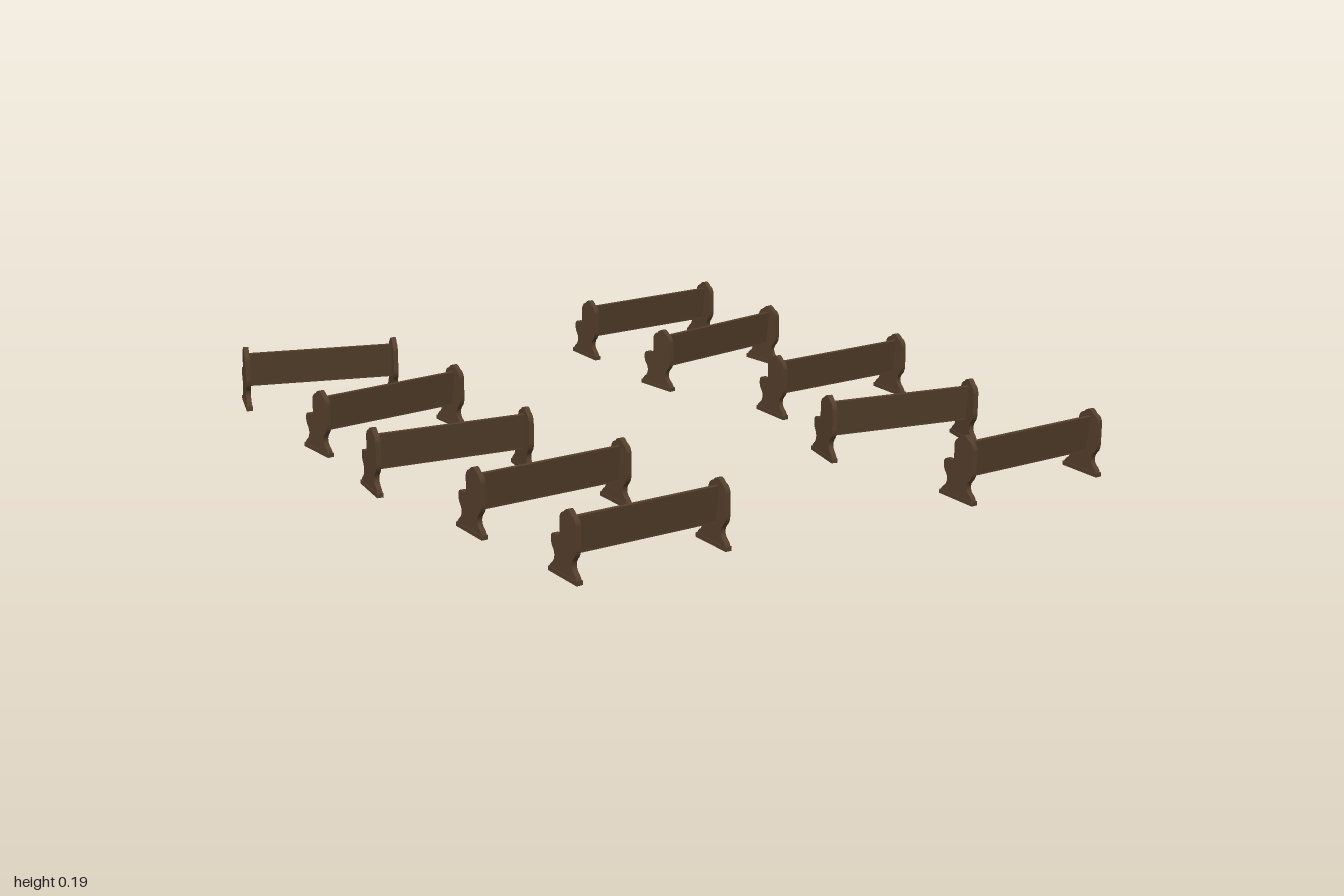
import * as THREE from 'three';

const wood = new THREE.MeshStandardMaterial({ color: 0x543f2b });
wood.name = 'dark brown wood';

// Extrude a (z, y) outline along x, centred on x = 0
function extrudeAlongX(shape, width) {
  const g = new THREE.ExtrudeGeometry(shape, { depth: width, bevelEnabled: false, curveSegments: 5 });
  g.translate(0, 0, -width / 2);
  g.rotateY(-Math.PI / 2);
  return g;
}

// Carved end panel: flared base, waist, low armrest and tall pointed back
function panelShape() {
  const s = new THREE.Shape();
  s.moveTo(-0.067, 0.008);
  s.lineTo(0.067, 0.008);
  s.quadraticCurveTo(0.064, 0.022, 0.05, 0.03);
  s.quadraticCurveTo(0.036, 0.046, 0.05, 0.064);
  s.quadraticCurveTo(0.064, 0.076, 0.064, 0.095);
  s.lineTo(0.064, 0.158);
  s.quadraticCurveTo(0.06, 0.176, 0.044, 0.179);
  s.quadraticCurveTo(0.034, 0.19, 0.026, 0.19);
  s.quadraticCurveTo(0.016, 0.189, 0.007, 0.179);
  s.quadraticCurveTo(-0.01, 0.174, -0.014, 0.158);
  s.lineTo(-0.014, 0.116);
  s.quadraticCurveTo(-0.018, 0.107, -0.026, 0.107);
  s.lineTo(-0.046, 0.107);
  s.quadraticCurveTo(-0.056, 0.104, -0.056, 0.09);
  s.quadraticCurveTo(-0.056, 0.074, -0.045, 0.064);
  s.quadraticCurveTo(-0.034, 0.048, -0.048, 0.03);
  s.quadraticCurveTo(-0.062, 0.022, -0.067, 0.008);
  return s;
}

// Backrest leaning towards +z
function backrestShape() {
  const s = new THREE.Shape();
  s.moveTo(0.006, 0.07);
  s.lineTo(0.02, 0.07);
  s.lineTo(0.035, 0.17);
  s.lineTo(0.022, 0.17);
  s.closePath();
  return s;
}

const geometries = {
  panel: extrudeAlongX(panelShape(), 0.015),
  foot: new THREE.BoxGeometry(0.019, 0.012, 0.138),
  seat: new THREE.BoxGeometry(0.445, 0.014, 0.071),
  backrest: extrudeAlongX(backrestShape(), 0.445),
};

function addPart(group, name, geometry, x = 0, y = 0, z = 0) {
  const mesh = new THREE.Mesh(geometry, wood);
  mesh.name = name;
  mesh.position.set(x, y, z);
  group.add(mesh);
}

function createBench() {
  const bench = new THREE.Group();
  bench.name = 'bench';
  for (const side of [-1, 1]) {
    const label = side > 0 ? 'left' : 'right';
    addPart(bench, label + 'EndPanel', geometries.panel, side * 0.225);
    addPart(bench, label + 'Foot', geometries.foot, side * 0.225, 0.006);
  }
  addPart(bench, 'seat', geometries.seat, 0, 0.072, -0.0155);
  addPart(bench, 'backrest', geometries.backrest);
  return bench;
}

// x, z and turn of each bench: right column, then left column
const placements = [
  [-0.632, -0.862, -0.325], [-0.64, -0.413, 0.058], [-0.672, 0.024, -0.14],
  [-0.606, 0.44, 0], [-0.571, 0.855, 0],
  [0.54, -0.839, 0], [0.537, -0.442, 0.131], [0.67, 0.016, 0],
  [0.553, 0.474, -0.205], [0.638, 0.928, 0],
];

export function createModel() {
  const model = new THREE.Group();
  model.name = 'benchRows';
  for (const [x, z, turn] of placements) {
    const bench = createBench();
    bench.position.set(x, 0, z);
    bench.rotation.y = turn;
    model.add(bench);
  }
  return model;
}
